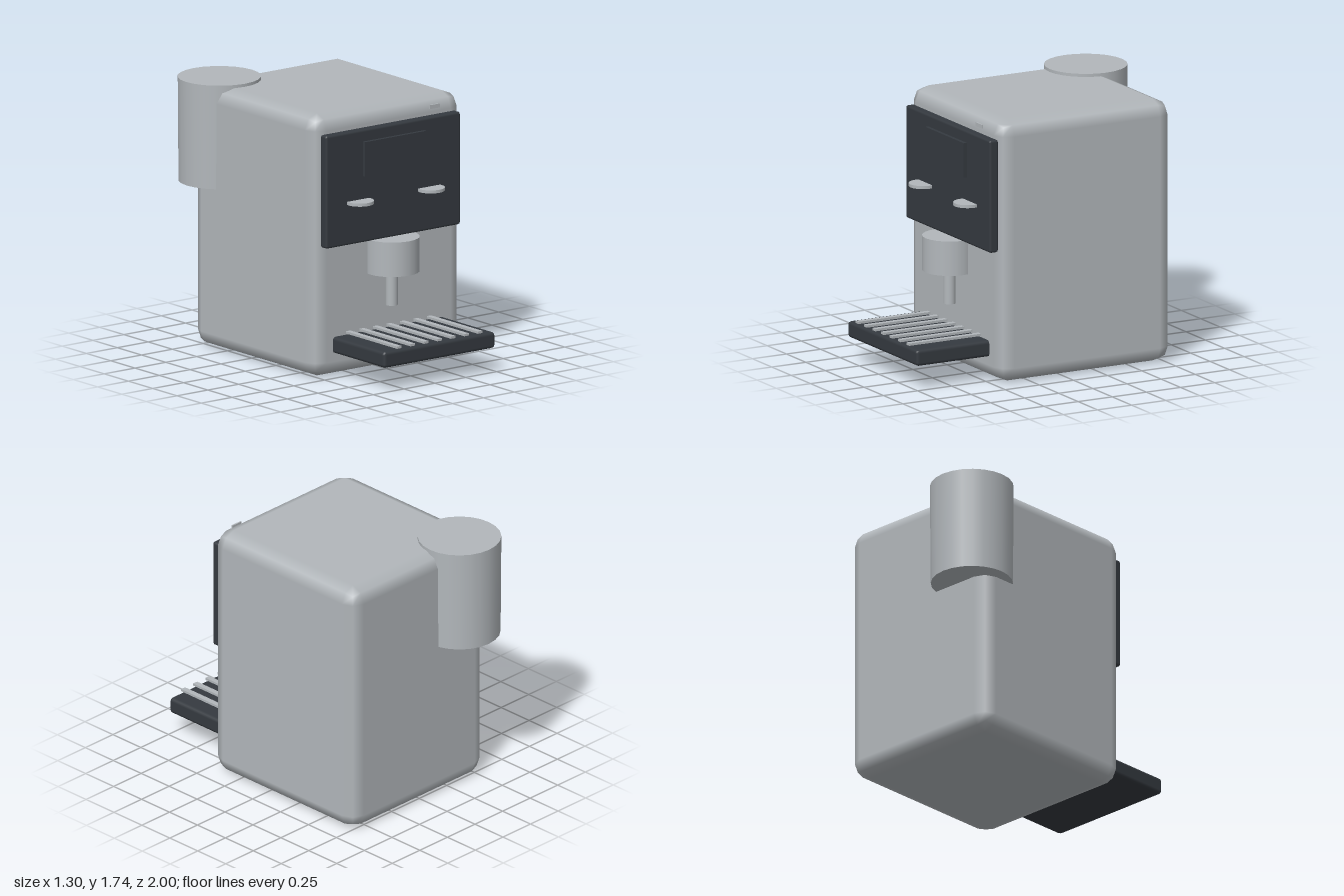
import * as THREE from 'three';
import { RoundedBoxGeometry } from 'three/addons/geometries/RoundedBoxGeometry.js';

export function createModel() {
  const model = new THREE.Group();
  model.name = 'coffeeMachine';

  const metal = new THREE.MeshStandardMaterial({ color: 0xb2b7bb });
  metal.name = 'silver metal';
  const dark = new THREE.MeshStandardMaterial({ color: 0x353a40 });
  dark.name = 'dark plastic';

  const add = (name, geometry, material, x, y, z) => {
    const mesh = new THREE.Mesh(geometry, material);
    mesh.name = name;
    mesh.position.set(x, y, z);
    model.add(mesh);
    return mesh;
  };
  // Box from its min and max corners, rounded when a radius is given
  const box = (name, material, min, max, radius = 0) => {
    const size = max.map((v, i) => v - min[i]);
    const mid = max.map((v, i) => (v + min[i]) / 2);
    const geometry = radius
      ? new RoundedBoxGeometry(...size, 1, radius)
      : new THREE.BoxGeometry(...size);
    return add(name, geometry, material, ...mid);
  };
  // Upright cylinder between two heights
  const cylinder = (name, x, z, y0, y1, rTop, rBottom = rTop, sides = 24) =>
    add(name, new THREE.CylinderGeometry(rTop, rBottom, y1 - y0, sides), metal, x, (y0 + y1) / 2, z);

  // Housing and water tank
  box('body', metal, [-0.56, 0, -0.795], [0.645, 1.72, 0.47], 0.1);
  cylinder('waterTank', -0.383, -0.733, 1.06, 1.74, 0.267, 0.262);

  // Front panel with screen, buttons and indicator
  box('frontPanel', dark, [-0.502, 0.86, 0.455], [0.588, 1.6, 0.52], 0.016);
  box('screen', dark, [-0.205, 1.297, 0.5], [0.29, 1.523, 0.543]);
  for (const x of [-0.245, 0.33]) cylinder('button', x, 0.538, 1.127, 1.147, 0.091);
  box('indicator', metal, [0.358, 1.645, 0.485], [0.44, 1.671, 0.495]);

  // Brewing head and spout
  cylinder('brewHead', 0.043, 0.505, 0.637, 0.863, 0.177);
  cylinder('spout', 0.04, 0.505, 0.415, 0.645, 0.039);

  // Drip tray and its grille
  box('dripTray', dark, [-0.41, 0.155, 0.4], [0.493, 0.262, 1], 0.022);
  for (let i = 0; i < 7; i++) {
    const x = -0.286 + i * 0.1092;
    box('grilleBar', metal, [x - 0.018, 0.27, 0.42], [x + 0.018, 0.285, 0.997]);
  }

  return model;
}
